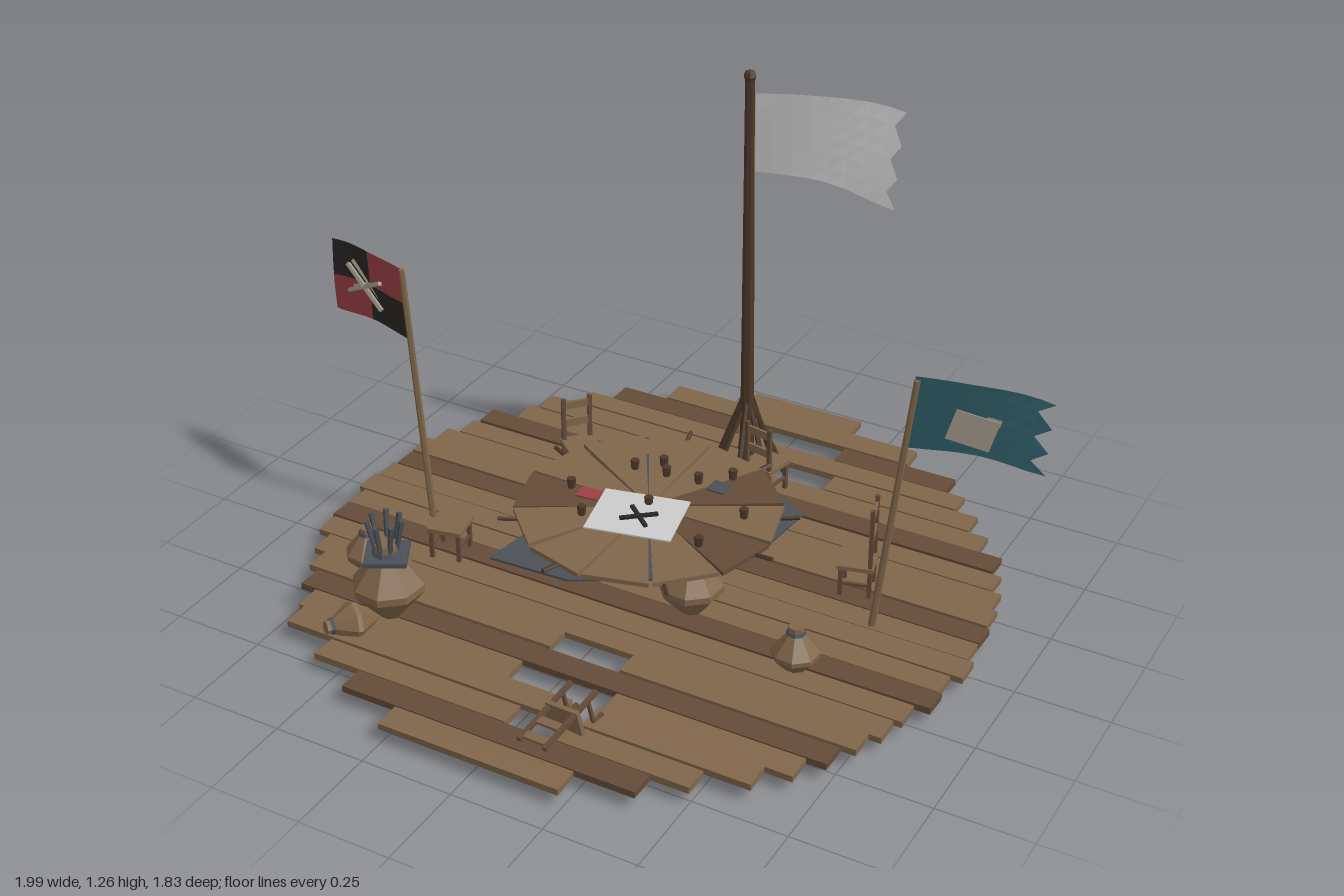
import * as THREE from 'three';

const V = (x, y, z) => new THREE.Vector3(x, y, z);
const mat = (color) => new THREE.MeshStandardMaterial({ color, flatShading: true, side: THREE.DoubleSide });
const wood = mat(0x80664a), darkWood = mat(0x644c38), mastWood = mat(0x4c3828), metal = mat(0x4b5057);
const grey = mat(0xa0978a), white = mat(0xd6d6d2), red = mat(0x9c4046), black = mat(0x2a2726), teal = mat(0x2f5c66);
const DECK = 0.065;

function add(parent, name, geometry, material, x = 0, y = 0, z = 0) {
  const m = new THREE.Mesh(geometry, material);
  m.name = name;
  m.position.set(x, y, z);
  parent.add(m);
  return m;
}

function box(parent, name, w, h, d, material, x, y, z, ry = 0) {
  const m = add(parent, name, new THREE.BoxGeometry(w, h, d), material, x, y, z);
  m.rotation.y = ry;
  return m;
}

// tapered rod between two points
function rod(parent, name, a, b, r0, r1, material, sides = 6) {
  const dir = b.clone().sub(a);
  const m = add(parent, name, new THREE.CylinderGeometry(r1, r0, dir.length(), sides), material);
  m.position.copy(a).addScaledVector(dir, 0.5);
  m.quaternion.setFromUnitVectors(V(0, 1, 0), dir.normalize());
  return m;
}

function group(parent, name, x, y, z, ry = 0) {
  const g = new THREE.Group();
  g.name = name;
  g.position.set(x, y, z);
  g.rotation.y = ry;
  parent.add(g);
  return g;
}

// pointed eight-sided barrel with a metal collar
function barrel(parent, name, x, y, z, r, h) {
  const g = group(parent, name, x, y, z, 0.3);
  const pts = [[0, 0], [0.26, 0.12], [1, 0.46], [1, 0.54], [0.36, 0.87], [0.32, 1], [0, 1]];
  add(g, 'barrelBody', new THREE.LatheGeometry(pts.map(([a, b]) => new THREE.Vector2(a * r, b * h)), 8), wood);
  add(g, 'barrelCollar', new THREE.CylinderGeometry(r * 0.36, r * 0.42, h * 0.06, 8), metal, 0, h * 0.9, 0);
  return g;
}

// chair facing +z, feet at local y = 0
function chair(parent, name, x, y, z, ry, back = 0.24) {
  const g = group(parent, name, x, y, z, ry);
  box(g, 'seat', 0.095, 0.012, 0.095, wood, 0, 0.085, 0);
  for (const sx of [-1, 1]) {
    box(g, 'frontLeg', 0.011, 0.085, 0.011, darkWood, sx * 0.038, 0.042, 0.038);
    box(g, 'backPost', 0.011, back, 0.011, darkWood, sx * 0.038, back / 2, -0.038);
    box(g, 'sideRail', 0.008, 0.008, 0.076, darkWood, sx * 0.038, 0.035, 0);
  }
  if (back > 0.15) for (const f of [0.65, 0.9]) box(g, 'backSlat', 0.085, 0.022, 0.008, wood, 0, back * f, -0.038);
  return g;
}

// cloth between corners [inner top, inner bottom, outer top, outer bottom], cut to a u/v window
function cloth(parent, name, c, material, wave, tear, [u0, u1, v0, v1] = [0, 1, 0, 1]) {
  const g = new THREE.PlaneGeometry(1, 1, 8, 6), p = g.attributes.position;
  for (let i = 0; i < p.count; i++) {
    let u = u0 + (p.getX(i) + 0.5) * (u1 - u0);
    const v = v0 + (0.5 - p.getY(i)) * (v1 - v0);
    if (u > 0.99) u -= tear * Math.abs(Math.sin(v * 9.5));
    const q = c[0].clone().lerp(c[1], v).lerp(c[2].clone().lerp(c[3], v), u);
    q.z += wave * Math.sin(u * 6 + v * 2.5) * u;
    q.y += wave * Math.sin(u * Math.PI);
    p.setXYZ(i, q.x, q.y, q.z);
  }
  g.computeVertexNormals();
  return add(parent, name, g, material);
}

function buildDeck(root) {
  const deck = group(root, 'deck', 0, 0, 0);
  // each row: left end, right end, then optional gap start and end
  const rows = [
    [-.18, .16], [-.40, .37], [-.54, .52, -.12, .18], [-.61, .58], [-.70, .65, -.02, .22], [-.73, .71],
    [-.81, .78], [-.83, .81, -.03, .14], [-.87, .84, -.06, .08], [-.89, .86], [-.89, .87], [-.90, .87],
    [-.91, .89], [-.89, .86], [-.89, .87], [-.88, .83], [-.84, .81], [-.80, .78, -.06, .14],
    [-.77, .74], [-.72, .69, -.09, .18], [-.70, .62, .10, .17], [-.56, .50, 0, .13], [-.42, .40], [-.26, .24]];
  rows.forEach(([a, b, g0, g1], i) => {
    const z = -0.88 + i * 0.0765, y = 0.054 + 0.002 * Math.sin(i * 2.3);
    const m = i % 4 === 2 ? darkWood : wood;
    for (const [s, e] of g0 === undefined ? [[a, b]] : [[a, g0], [g1, b]]) {
      const p = box(deck, 'plank', e - s, 0.018, 0.072, m, (s + e) / 2, y, z);
      p.rotation.x = 0.04 * Math.sin(i * 1.7);
    }
  });
}

function buildTable(root) {
  const t = group(root, 'roundTable', -0.01, 0.25, 0.04);
  // loose sheet hanging out below the top
  const pts = [[.25, .25], [.35, .19], [.33, -.04], [.16, -.25], [-.03, -.36], [-.25, -.37], [-.23, -.23], [-.34, .02], [-.34, .13], [-.1, .28]];
  const under = new THREE.ExtrudeGeometry(new THREE.Shape(pts.map(([x, y]) => new THREE.Vector2(x, y))), { depth: 0.006, bevelEnabled: false });
  add(t, 'underSheet', under, metal, 0, -0.016, 0).rotation.x = -Math.PI / 2;
  // twelve wedge boards
  for (let i = 0; i < 12; i++) {
    const a0 = i * Math.PI / 6 + 0.015, a1 = (i + 1) * Math.PI / 6 - 0.015;
    const s = new THREE.Shape();
    [[0.04, a0], [0.35, a0], [0.35, a1], [0.04, a1]].forEach(([r, a], k) => s[k ? 'lineTo' : 'moveTo'](r * Math.cos(a), r * Math.sin(a)));
    const g = new THREE.ExtrudeGeometry(s, { depth: 0.012, bevelEnabled: false });
    add(t, 'topBoard', g, i % 5 === 1 ? darkWood : wood, 0, 0.002 * Math.sin(i * 2.1), 0).rotation.x = -Math.PI / 2;
  }
  // loose sticks poking past the rim
  for (const a of [0.15, 0.95, 1.8, 2.5, 3.5, 4.5, 5.2, 5.9]) {
    const c = Math.cos(a), s = Math.sin(a);
    rod(t, 'rimStick', V(c * 0.3, -0.004, s * 0.3), V(c * 0.39, 0.008, s * 0.39), 0.006, 0.006, mastWood, 5);
  }
  // map, cloth scraps and crossed sticks
  box(t, 'map', 0.23, 0.004, 0.19, white, 0, 0.019, 0.06, 0.22);
  box(t, 'redScrap', 0.06, 0.004, 0.045, red, -0.16, 0.017, 0.03, 0.1);
  box(t, 'blueScrap', 0.05, 0.004, 0.05, metal, 0.12, 0.017, -0.16);
  for (const a of [0.7, -0.7]) box(t, 'crossedStick', 0.1, 0.008, 0.01, black, 0.01, 0.025, 0.07, a);
  // cups around the table
  for (const [x, z] of [[-.06, -.19], [-.12, -.14], [.06, -.16], [.13, -.22], [.24, -.07], [.2, .1], [-.22, .02], [-.13, .12], [-.03, -.15], [0, 0]])
    add(t, 'cup', new THREE.CylinderGeometry(0.012, 0.01, 0.028, 6), mastWood, x, 0.027, z);
  // supporting barrels
  for (const [x, z] of [[-.17, .10], [.18, .10], [-.01, -.18]]) barrel(t, 'tableBarrel', x, -0.225, z, 0.085, 0.225);
}

function buildMast(root) {
  const g = group(root, 'mast', -0.015, 0, -0.53);
  rod(g, 'mastPole', V(0, 0.05, 0), V(0, 1.25, 0.03), 0.021, 0.013, mastWood, 8);
  add(g, 'mastCap', new THREE.SphereGeometry(0.018, 6, 4), mastWood, 0, 1.257, 0.03);
  for (let i = 0; i < 7; i++) {
    const a = i * Math.PI * 2 / 7 + 0.4;
    rod(g, 'mastStrut', V(Math.cos(a) * 0.1, 0.05, Math.sin(a) * 0.12), V(Math.cos(a) * 0.012, 0.27 + 0.03 * (i % 2), Math.sin(a) * 0.012), 0.009, 0.007, mastWood, 5);
  }
  cloth(root, 'whiteFlag', [V(0, 1.21, -.505), V(0, .99, -.51), V(.36, 1.18, -.64), V(.36, .92, -.62)], white, 0.018, 0.07);
}

function buildSideFlags(root) {
  // checkered flag
  const g = group(root, 'checkeredFlag', 0, 0, 0);
  rod(g, 'flagPole', V(-.65, .045, .095), V(-.705, .80, .1), 0.01, 0.008, wood);
  const c = [V(-.70, .80, .1), V(-.70, .60, .1), V(-1, .775, 0), V(-1, .565, -.01)];
  for (const i of [0, 1]) for (const j of [0, 1])
    cloth(g, 'flagQuarter', c, i === j ? red : black, 0.008, 0, [i / 2, i / 2 + 0.5, j / 2, j / 2 + 0.5]);
  for (const dz of [0.012, -0.012]) {
    rod(g, 'crossBar', V(-.92, .74, .03 + dz), V(-.79, .65, .07 + dz), 0.007, 0.007, grey, 4);
    rod(g, 'crossBar', V(-.92, .66, .03 + dz), V(-.79, .73, .07 + dz), 0.007, 0.007, grey, 4);
  }
  // torn flag with a patch
  const h = group(root, 'patchedFlag', 0, 0, 0);
  rod(h, 'flagPole', V(.60, .04, -.02), V(.685, .80, -.02), 0.01, 0.008, wood);
  const d = [V(.68, .81, -.02), V(.67, .61, -.02), V(.99, .755, -.14), V(.99, .57, -.13)];
  cloth(h, 'flagCloth', d, teal, 0.012, 0.13);
  for (const s of [1, -1]) {
    const p = box(h, 'flagPatch', 0.11, 0.085, 0.003, grey, 0.815, 0.675, -0.072 + s * 0.006);
    p.rotation.set(0, 0.37, -0.28);
  }
}

function buildProps(root) {
  // weapon barrel, small barrels and a tipped barrel
  const big = barrel(root, 'weaponBarrel', -.49, .03, .53, .095, .25);
  box(big, 'barrelLid', 0.11, 0.012, 0.11, metal, 0, 0.215, 0, 0.2);
  for (let i = 0; i < 7; i++) {
    const a = i * Math.PI * 2 / 7, c = Math.cos(a), s = Math.sin(a);
    rod(big, 'storedBlade', V(c * 0.02, 0.2, s * 0.02), V(c * 0.045, 0.32, s * 0.045), 0.006, 0.008, metal, 4);
  }
  barrel(root, 'smallBarrel', -.66, .03, .38, .062, .155);
  barrel(root, 'smallBarrel', .51, .03, .23, .062, .155);
  const tipped = barrel(root, 'tippedBarrel', -.5, .07, .56, .055, .15);
  tipped.rotation.set(1.45, 0, 0.55);
  box(root, 'scrapPlate', 0.11, 0.012, 0.1, metal, -.54, 0.03, 0.62, 0.4).rotation.z = 0.2;

  // chairs and a stool
  chair(root, 'chair', .50, DECK, -.15, -1.3, 0.265);
  chair(root, 'chair', -.41, DECK, -.29, 0.87, 0.22);
  chair(root, 'chair', .08, DECK, -.46, 2.95, 0.22);
  chair(root, 'stool', -.51, DECK, .22, 0.2, 0.085);
  const fallen = chair(root, 'fallenChair', .15, .10, .63, 0, 0.21);
  fallen.rotation.set(1.75, 0.1, 0.1);
}

export function createModel() {
  const root = new THREE.Group();
  root.name = 'platformCamp';
  buildDeck(root);
  buildTable(root);
  buildMast(root);
  buildSideFlags(root);
  buildProps(root);
  return root;
}
